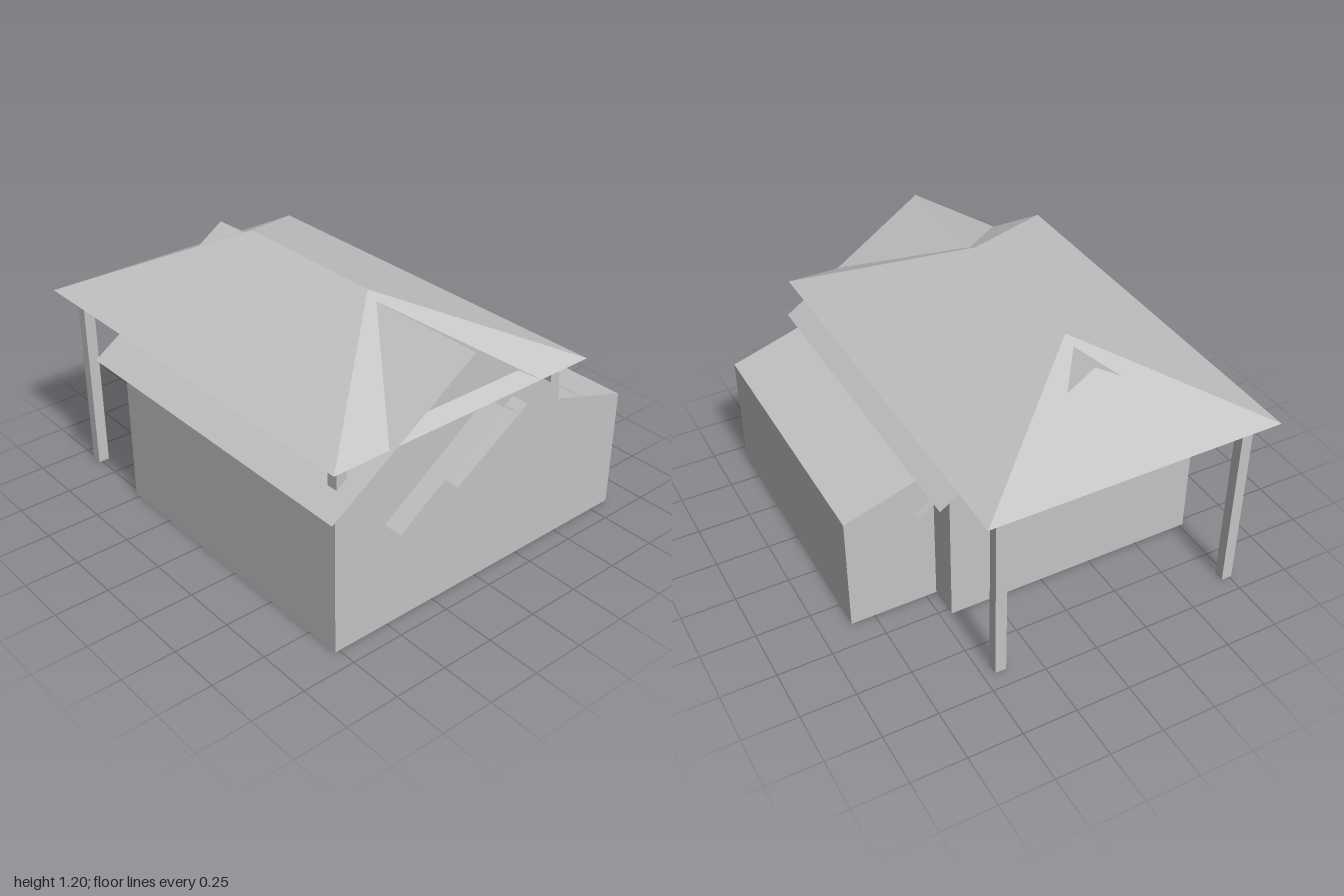
import * as THREE from 'three';

const grey = new THREE.MeshStandardMaterial({ color: 0xc4c4c4, flatShading: true, side: THREE.DoubleSide });
grey.name = 'plain grey';

export function createModel() {
  const model = new THREE.Group();
  model.name = 'house';

  const add = (name, geometry) => {
    const mesh = new THREE.Mesh(geometry, grey);
    mesh.name = name;
    model.add(mesh);
    return mesh;
  };

  // Solid with an x-y outline running from zBack to zFront
  const prism = (name, outline, zBack, zFront) => {
    const shape = new THREE.Shape(outline.map(([x, y]) => new THREE.Vector2(x, y)));
    const geometry = new THREE.ExtrudeGeometry(shape, { depth: zFront - zBack, bevelEnabled: false });
    add(name, geometry.translate(0, 0, zBack));
  };

  // Thin open surface made of flat faces with three or four corners
  const sheet = (name, faces) => {
    const points = [];
    for (const f of faces) {
      for (let i = 1; i < f.length - 1; i++) points.push(...f[0], ...f[i], ...f[i + 1]);
    }
    const geometry = new THREE.BufferGeometry();
    geometry.setAttribute('position', new THREE.Float32BufferAttribute(points, 3));
    geometry.computeVertexNormals();
    add(name, geometry);
  };

  // Two-slope roof: eaves at xL and xR, ridge halfway between
  const gableRoof = (name, xL, xR, yEave, yRidge, zBack, zFront) => {
    const xm = (xL + xR) / 2;
    sheet(name, [
      [[xL, yEave, zFront], [xm, yRidge, zFront], [xm, yRidge, zBack], [xL, yEave, zBack]],
      [[xm, yRidge, zFront], [xR, yEave, zFront], [xR, yEave, zBack], [xm, yRidge, zBack]],
    ]);
  };

  // Walls
  prism('mainBody', [[-0.77, 0], [0.45, 0], [0.45, 0.755], [-0.16, 1.167], [-0.77, 0.755]], -0.53, 0.91);
  prism('sideExtension', [[0.45, 0], [0.86, 0], [0.86, 0.57], [0.45, 0.7]], -0.38, 0.91);

  // Gabled roofs, the lower two mostly hidden inside the walls
  gableRoof('gableRoof', -0.86, 0.54, 0.7, 1.17, -0.625, 1);
  gableRoof('lowerGableRoof', -0.52, 0.54, 0.5, 0.87, -0.42, 1);
  gableRoof('innerGableRoof', -0.21, 0.54, 0.58, 0.82, -0.385, 0.99);

  // Hipped canopy roof, open underneath
  const fl = [-0.835, 0.895, 0.98], fr = [0.525, 0.895, 0.98];
  const bl = [-0.835, 0.895, -1], br = [0.525, 0.895, -1];
  const rf = [-0.155, 1.2, 0.38], rb = [-0.155, 1.2, -0.4];
  sheet('hippedRoof', [[fl, fr, rf], [br, bl, rb], [bl, fl, rf, rb], [fr, br, rb, rf]]);

  // Posts: the back pair reach the ground, the front pair rise from the walls
  for (const x of [-0.737, 0.421]) {
    for (const [name, z, bottom] of [['backPost', -0.895, 0], ['frontPost', 0.883, 0.6]]) {
      const h = 0.898 - bottom;
      add(name, new THREE.BoxGeometry(0.052, h, 0.05)).position.set(x, bottom + h / 2, z);
    }
  }

  return model;
}
